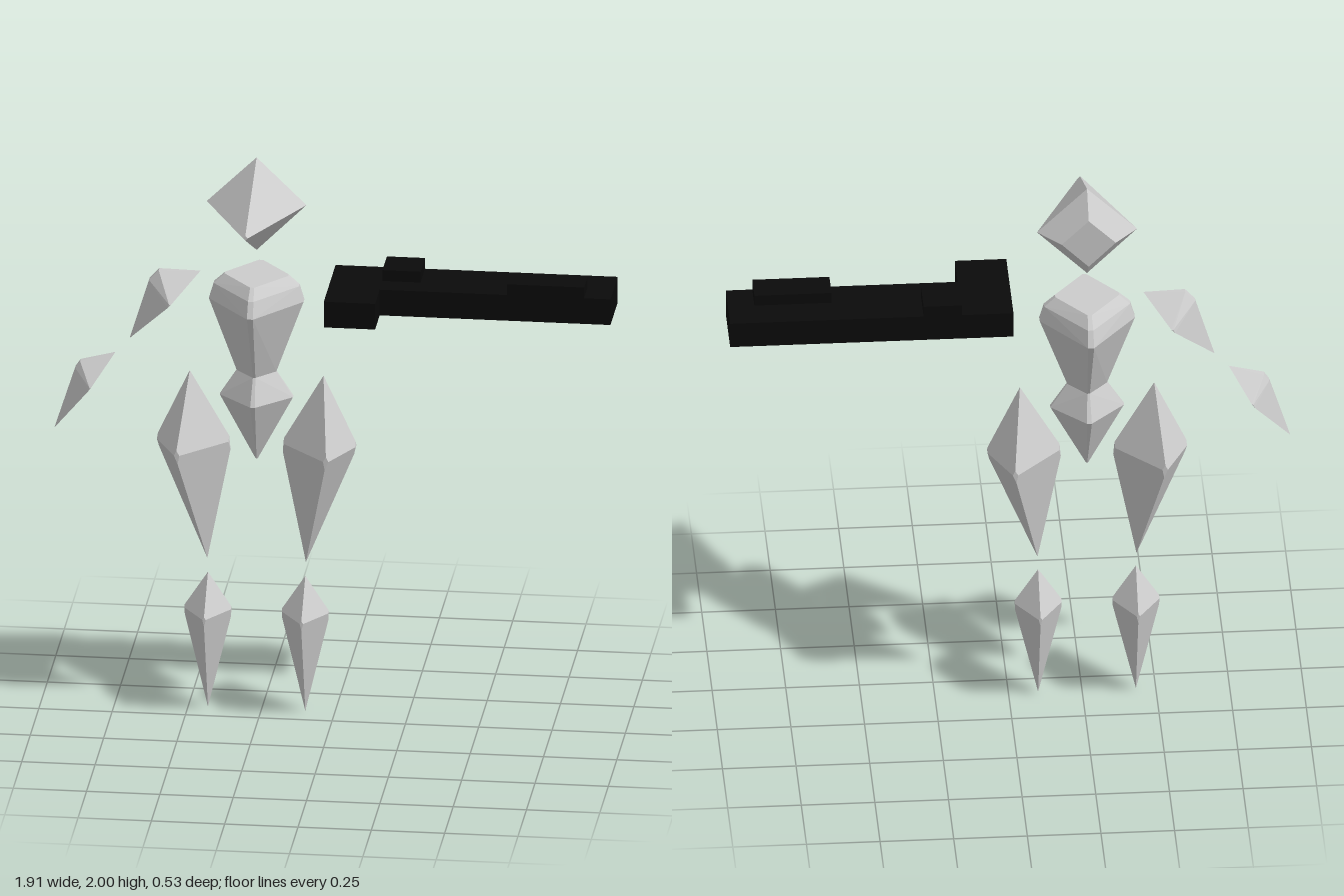
import * as THREE from 'three';
import { ConvexGeometry } from 'three/addons/geometries/ConvexGeometry.js';

const MID_X = -0.267, MID_Z = -0.085; // symmetry axis of the figure
const grey = new THREE.MeshStandardMaterial({ color: 0xcccccc, flatShading: true });
const black = new THREE.MeshStandardMaterial({ color: 0x0a0a0a, flatShading: true });
const v = (x, y, z = MID_Z) => new THREE.Vector3(x, y, z);

function hull(name, points) {
  const mesh = new THREE.Mesh(new ConvexGeometry(points), grey);
  mesh.name = name;
  return mesh;
}

// Cut a corner into a small facet by stepping along each of its edges
const clip = (corner, ends, t = 0.07) => ends.map(e => corner.clone().lerp(e, t));

// Octahedral shard: two tips and a ring of four blunted corners
function crystal(name, top, bottom, ring) {
  const pts = [top, bottom];
  ring.forEach((c, i) => pts.push(...clip(c, [top, bottom, ring[(i + 1) % 4], ring[(i + 3) % 4]])));
  return hull(name, pts);
}

// Four-cornered ring; the front and back corners may sit off-centre in x
const ring = (y, x0, x1, rz, xm = (x0 + x1) / 2) =>
  [v(x0, y), v(xm, y, MID_Z + rz), v(x1, y), v(xm, y, MID_Z - rz)];

// Body block: diamond sections stacked by height, corners slightly blunted
function stack(name, sections) {
  const pts = [];
  for (const [y, rx, rz] of sections) {
    const c = ring(y, MID_X - rx, MID_X + rx, rz);
    c.forEach((p, i) => pts.push(...clip(p, [c[(i + 1) % 4], c[(i + 3) % 4]], 0.06)));
  }
  return hull(name, pts);
}

// Arm shard: flat on the inner side, ridged on the outer side
function armShard(name, inner, tip, outerA, outerB, side, halfDepth) {
  const front = v(...side, MID_Z + halfDepth), back = v(...side, MID_Z - halfDepth);
  const pts = [v(...inner), v(...tip)];
  for (const p of [outerA, outerB]) {
    for (const s of [-0.01, 0.01]) pts.push(v(...p, MID_Z + s));
  }
  for (const c of [front, back]) pts.push(...clip(c, [pts[0], pts[1], v(...outerA)], 0.05));
  return hull(name, pts);
}

export function createModel() {
  const model = new THREE.Group();
  model.name = 'crystalFigure';

  // Head: pointed to the front, cut flat at the back
  const hy = 1.837, hr = 0.17;
  const front = v(MID_X, hy, 0.265);
  const sides = [v(MID_X - hr, hy), v(MID_X + hr, hy), v(MID_X, 2.003), v(MID_X, 1.667)];
  const headPoints = [...clip(front, sides, 0.05)];
  for (const s of sides) {
    const back = v(MID_X, hy, -0.27);
    headPoints.push(s, s.clone().lerp(back, 0.46));
  }
  model.add(hull('head', headPoints));

  // Torso and pelvis
  model.add(stack('torso', [
    [1.58, 0.115, 0.14], [1.545, 0.155, 0.185], [1.49, 0.172, 0.212], [1.23, 0.072, 0.078],
  ]));
  model.add(stack('pelvis', [[1.23, 0.072, 0.078], [1.14, 0.133, 0.13], [0.91, 0.004, 0.004]]));

  // Legs, mirrored about the figure's own axis
  for (const s of [-1, 1]) {
    const X = d => MID_X + s * d;
    const leg = new THREE.Group();
    leg.name = s < 0 ? 'rightLeg' : 'leftLeg';
    leg.add(crystal('thigh', v(X(0.228), 1.22), v(X(0.168), 0.54),
      ring(0.97, X(0.345), X(0.083), 0.175, X(0.257))));
    leg.add(crystal('shin', v(X(0.166), 0.49), v(X(0.166), 0),
      ring(0.36, X(0.251), X(0.081), 0.126)));
    model.add(leg);
  }

  // Right arm
  const arm = new THREE.Group();
  arm.name = 'rightArm';
  arm.add(armShard('upperArm', [-0.458, 1.583], [-0.7, 1.327], [-0.6, 1.582], [-0.633, 1.545],
    [-0.55, 1.495], 0.122));
  arm.add(armShard('forearm', [-0.748, 1.275], [-0.957, 0.99], [-0.868, 1.24], [-0.885, 1.215],
    [-0.823, 1.176], 0.108));
  model.add(arm);

  // Weapon: barrel, sideways grip and two raised blocks, given as min and max corners
  const weapon = new THREE.Group();
  weapon.name = 'weapon';
  const blocks = {
    barrel: [[-0.01, 1.49, -0.19], [0.952, 1.583, 0.023]],
    grip: [[-0.01, 1.49, 0.023], [0.165, 1.583, 0.157]],
    rearBlock: [[0.165, 1.583, -0.19], [0.295, 1.622, -0.06]],
    muzzleBlock: [[0.6, 1.583, -0.08], [0.862, 1.622, 0.023]],
  };
  for (const [name, [a, b]] of Object.entries(blocks)) {
    const mesh = new THREE.Mesh(new THREE.BoxGeometry(...b.map((n, i) => n - a[i])), black);
    mesh.position.set(...b.map((n, i) => (n + a[i]) / 2));
    mesh.name = name;
    weapon.add(mesh);
  }
  model.add(weapon);
  return model;
}
